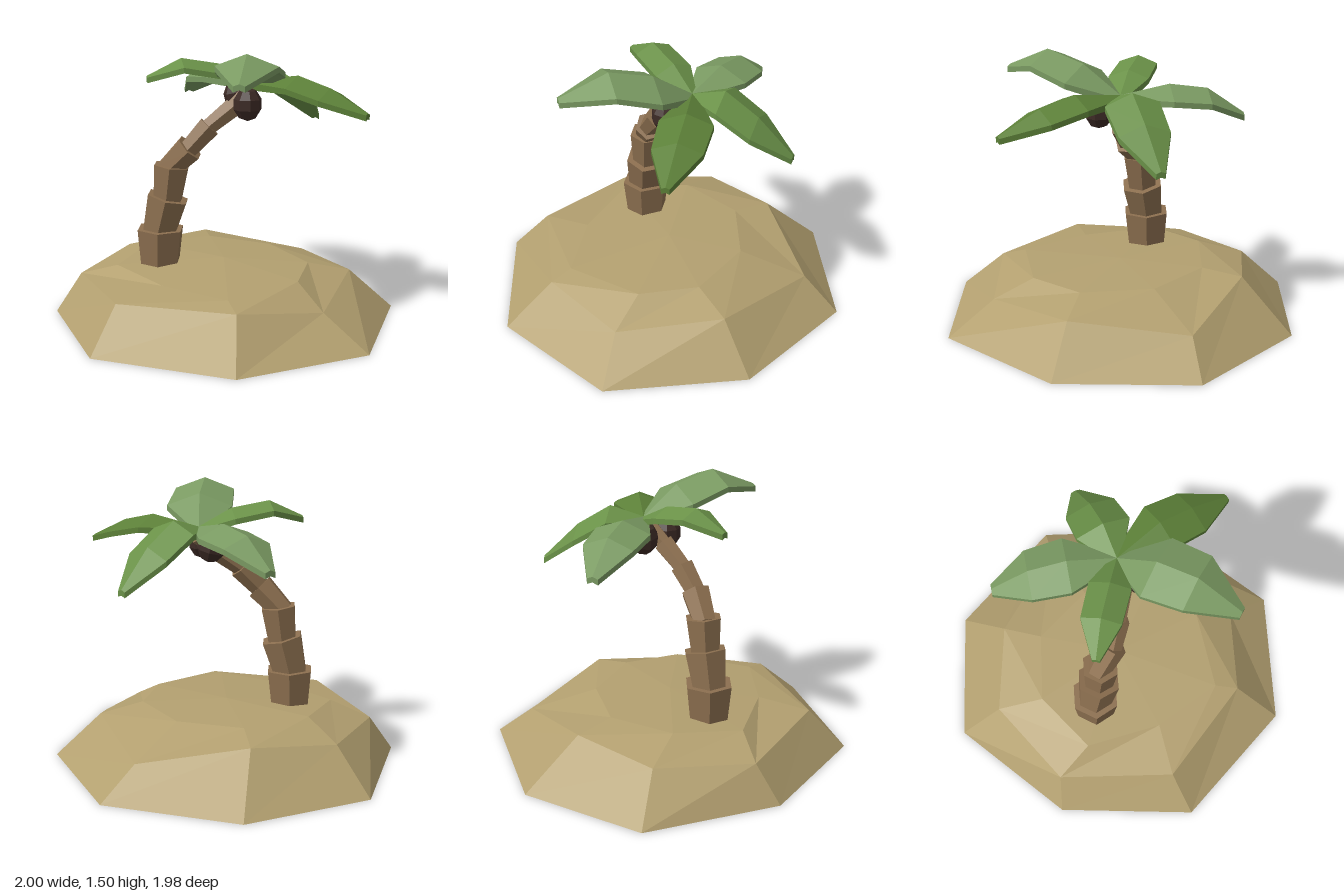
import * as THREE from 'three';

const mat = (color, side = THREE.FrontSide) =>
  new THREE.MeshStandardMaterial({ color, flatShading: true, side });
const V = (p) => new THREE.Vector3(...p);

function meshFrom(name, positions, index, material) {
  const g = new THREE.BufferGeometry();
  g.setAttribute('position', new THREE.Float32BufferAttribute(positions, 3));
  g.setIndex(index);
  const flat = g.toNonIndexed();
  flat.computeVertexNormals();
  const m = new THREE.Mesh(flat, material);
  m.name = name;
  return m;
}

// Hollow sand mound: three uneven octagonal rings closed by a low peak
function island() {
  const rings = [
    [[0.11, 0, -0.99], [0.755, 0, -0.59], [1, 0, 0.145], [0.615, 0, 0.79],
      [-0.145, 0, 0.985], [-0.765, 0, 0.55], [-1, 0, -0.17], [-0.62, 0, -0.78]],
    [[0.04, 0.17, -0.79], [0.57, 0.23, -0.42], [0.725, 0.17, 0.14], [0.465, 0.235, 0.565],
      [-0.145, 0.23, 0.775], [-0.685, 0.205, 0.425], [-0.765, 0.23, -0.11], [-0.48, 0.275, -0.5]],
    [[0.04, 0.29, -0.42], [0.4, 0.285, -0.25], [0.52, 0.28, 0.06], [0.36, 0.265, 0.485],
      [-0.05, 0.27, 0.5], [-0.46, 0.28, 0.375], [-0.53, 0.305, 0.0], [-0.33, 0.3, -0.33]],
  ];
  const n = 8, idx = [];
  for (let r = 0; r < 2; r++) {
    for (let i = 0; i < n; i++) {
      const a = r * n + i, b = r * n + (i + 1) % n;
      idx.push(a, a + n, b, b, a + n, b + n);
    }
  }
  for (let i = 0; i < n; i++) idx.push(2 * n + i, 3 * n, 2 * n + (i + 1) % n);
  return meshFrom('sandIsland', [...rings.flat(2), 0, 0.31, 0], idx, mat(0xb3a070, THREE.DoubleSide));
}

// Trunk: stacked six-sided pieces, each flaring towards its top
function trunk() {
  const group = new THREE.Group();
  group.name = 'trunk';
  const material = mat(0x8d7050);
  const joints = [[-0.295, 0.22, 0.2], [-0.29, 0.48, 0.2], [-0.25, 0.66, 0.18], [-0.23, 0.84, 0.17],
    [-0.13, 0.945, 0.135], [-0.05, 1.06, 0.065], [0.04, 1.16, -0.03], [0.1, 1.25, -0.12]].map(V);
  const radii = [0.137, 0.123, 0.104, 0.083, 0.07, 0.06, 0.052];
  radii.forEach((r, i) => {
    const dir = joints[i + 1].clone().sub(joints[i]).normalize();
    const start = joints[i].clone().addScaledVector(dir, i ? -0.04 : 0);
    const len = start.distanceTo(joints[i + 1]);
    const piece = new THREE.Mesh(
      new THREE.CylinderGeometry(r, r * 0.8, len, 6, 1, false, Math.PI / 6), material);
    piece.position.copy(start).lerp(joints[i + 1], 0.5);
    piece.quaternion.setFromUnitVectors(new THREE.Vector3(0, 1, 0), dir);
    piece.name = 'trunkPiece' + (i + 1);
    group.add(piece);
  });
  return group;
}

// Leaf: roof-shaped cross-sections lofted along a ridge line
function leaf(name, ridge, widths, color) {
  const pts = ridge.map(V), pos = [], idx = [], k = 6;
  const dir = pts[3].clone().sub(pts[0]).setY(0).normalize();
  const side = dir.clone().cross(new THREE.Vector3(0, 1, 0));
  pts.forEach((p, i) => {
    const w = widths[i], drop = w * 0.38, t = i === 0 ? 0.04 : 0.03;
    const section = [[-w, -drop], [0, 0], [w, -drop], [w, -drop - t], [0, -t], [-w, -drop - t]];
    for (const [s, y] of section) {
      pos.push(p.x + side.x * s, p.y + y, p.z + side.z * s);
    }
    for (let j = 0; i < 3 && j < k; j++) {
      const a = i * k + j, b = i * k + (j + 1) % k;
      idx.push(a, b, a + k, b, b + k, a + k);
    }
  });
  // End caps, split along the ridge
  for (const [a, b, c, d] of [[0, 1, 4, 5], [1, 2, 3, 4]]) {
    idx.push(a, c, b, a, d, c);
    const o = 3 * k;
    idx.push(o + a, o + b, o + c, o + a, o + c, o + d);
  }
  return meshFrom(name, pos, idx, mat(color));
}

function crown() {
  const group = new THREE.Group();
  group.name = 'leafCrown';
  const c = [0.085, 1.3, -0.14];
  const leaves = [
    ['backLeaf', [c, [0.12, 1.355, -0.32], [0.155, 1.24, -0.5], [0.18, 1.05, -0.69]],
      [0.03, 0.15, 0.14, 0.025], 0x6a9148],
    ['leftLeaf', [c, [0.37, 1.345, -0.165], [0.57, 1.295, -0.16], [0.8, 1.185, -0.15]],
      [0.03, 0.14, 0.13, 0.02], 0x5c8038],
    ['frontLeftLeaf', [c, [0.205, 1.445, 0.04], [0.31, 1.5, 0.245], [0.42, 1.385, 0.48]],
      [0.03, 0.18, 0.165, 0.03], 0x7a9a62],
    ['frontRightLeaf', [c, [-0.04, 1.395, -0.015], [-0.19, 1.43, 0.13], [-0.315, 1.34, 0.27]],
      [0.03, 0.11, 0.105, 0.02], 0x6a9148],
    ['backRightLeaf', [c, [-0.15, 1.355, -0.25], [-0.34, 1.325, -0.325], [-0.525, 1.185, -0.4]],
      [0.03, 0.155, 0.14, 0.03], 0x7a9a62],
  ];
  for (const l of leaves) group.add(leaf(...l));
  return group;
}

function coconuts() {
  const group = new THREE.Group();
  group.name = 'coconuts';
  const geo = new THREE.SphereGeometry(0.08, 8, 5).scale(1, 1.15, 1);
  [[0.145, 1.19, -0.015], [0, 1.205, -0.14]].forEach((p, i) => {
    const nut = new THREE.Mesh(geo, mat(0x3d2b26));
    nut.position.set(...p);
    nut.rotation.set(0, i * 0.5, i * 0.25);
    nut.name = 'coconut' + (i + 1);
    group.add(nut);
  });
  return group;
}

export function createModel() {
  const model = new THREE.Group();
  model.name = 'palmIsland';
  model.add(island(), trunk(), crown(), coconuts());
  return model;
}
